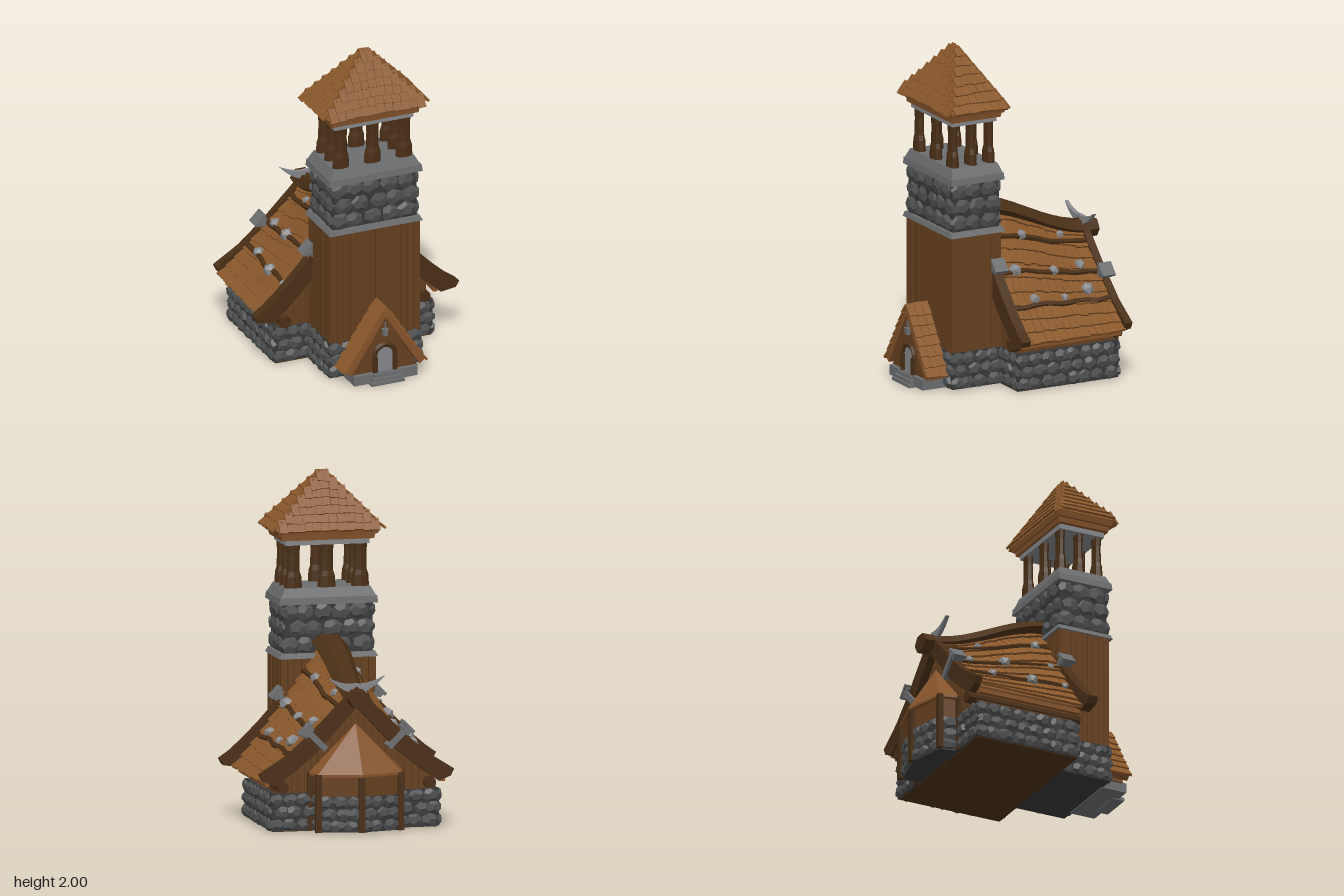
import * as THREE from 'three';
import { mergeGeometries } from 'three/addons/utils/BufferGeometryUtils.js';

const mat = (color) => new THREE.MeshStandardMaterial({ color, flatShading: true, side: THREE.DoubleSide });
const TILE = mat(0x8a582b), DARK = mat(0x4a2f16), WOOD = mat(0x66401f), TRIM = mat(0x85532a);
const ROCK = mat(0x505152), MORTAR = mat(0x38383a), GREY = mat(0x6c6e70), PALE = mat(0x85878a);
const lerp = THREE.MathUtils.lerp;
const V = (x, y, z) => new THREE.Vector3(x, y, z);

export function createModel() {
  const root = new THREE.Group();
  let seed = 7;
  const rnd = (a = 0, b = 1) => {
    seed = (seed * 16807) % 2147483647;
    return lerp(a, b, seed / 2147483647);
  };
  const add = (name, geo, material) => {
    const m = new THREE.Mesh(geo, material);
    m.name = name;
    root.add(m);
    return m;
  };
  const boxGeo = (w, h, d, x, y, z) => new THREE.BoxGeometry(w, h, d).translate(x, y, z);
  // box given by half sizes in x, a y range and a z range
  const block = (name, hx, y0, y1, z0, z1, m) =>
    add(name, boxGeo(hx * 2, y1 - y0, z1 - z0, 0, (y0 + y1) / 2, (z0 + z1) / 2), m);
  // four-sided tapered block on the tower axis
  const TZ = 0.325;
  const frustum = (name, bx, bz, tx, tz, y0, y1, m) => {
    const g = new THREE.BoxGeometry(2, y1 - y0, 2), p = g.attributes.position;
    for (let i = 0; i < p.count; i++) {
      const top = p.getY(i) > 0;
      p.setX(i, p.getX(i) * (top ? tx : bx));
      p.setZ(i, p.getZ(i) * (top ? tz : bz));
    }
    return add(name, g.translate(0, (y0 + y1) / 2, TZ), m);
  };
  const polygon = (pts) => new THREE.Shape(pts.map(([x, y]) => new THREE.Vector2(x, y)));
  const extrude = (shape, z0, z1) =>
    new THREE.ExtrudeGeometry(shape, { depth: z1 - z0, bevelEnabled: false, curveSegments: 10 }).translate(0, 0, z0);
  const prism = (name, pts, y0, y1, m) =>
    add(name, extrude(polygon(pts.map(([x, z]) => [x, -z])), y0, y1).rotateX(-Math.PI / 2), m);
  const rect = (hx, z0, z1) => [[-hx, z1], [hx, z1], [hx, z0], [-hx, z0]];

  // mortar core covered with rough faceted stones
  const cobbles = (name, pts, y0, y1, rows, size, closed = true) => {
    prism(name + 'Core', pts, y0, y1, MORTAR);
    const parts = [], h = (y1 - y0) / rows;
    for (let k = 0; k < pts.length - (closed ? 0 : 1); k++) {
      const [ax, az] = pts[k], [bx, bz] = pts[(k + 1) % pts.length];
      const len = Math.hypot(bx - ax, bz - az), n = Math.max(1, Math.round(len / size));
      for (let r = 0; r < rows; r++) for (let i = 0; i < n; i++) {
        const t = THREE.MathUtils.clamp((i + 0.5 + (r % 2 ? 0.2 : -0.2) + rnd(-0.12, 0.12)) / n, 0.4 / n, 1 - 0.4 / n);
        const g = new THREE.DodecahedronGeometry(1).rotateZ(rnd(0, 6)).rotateX(rnd(0, 6));
        g.scale(len / n * rnd(0.52, 0.64), h * rnd(0.5, 0.58), rnd(0.016, 0.028));
        g.rotateY(Math.atan2(-(bz - az), bx - ax));
        g.translate(lerp(ax, bx, t), y0 + h * (r + 0.5), lerp(az, bz, t));
        parts.push(g);
      }
    }
    add(name, mergeGeometries(parts), ROCK);
  };

  // overlapping tiles on a surface P(u, v); u runs right and v up, seen from outside
  const shingles = (name, P, rows, width) => {
    const parts = [];
    for (let r = 0; r < rows; r++) {
      const v0 = r / rows, v1 = (r + 1) / rows, vm = (v0 + v1) / 2;
      const len = P(0, vm).distanceTo(P(1, vm)), n = Math.max(1, Math.round(len / width));
      for (let i = 0; i < n; i++) {
        const u = (i + 0.5) / n;
        const up = P(u, v1).sub(P(u, v0)), h = up.length();
        const a = P((i + 1) / n, vm).sub(P(i / n, vm)).normalize();
        const nor = a.clone().cross(up).normalize();
        const y = nor.clone().cross(a).normalize();
        const g = new THREE.BoxGeometry(len / n * rnd(0.9, 1.02), h * rnd(1.1, 1.4), 0.014);
        g.rotateX(-0.14).rotateZ(rnd(-0.05, 0.05));
        g.applyMatrix4(new THREE.Matrix4().makeBasis(a, y, nor).setPosition(P(u, vm).addScaledVector(nor, 0.009)));
        parts.push(g);
      }
    }
    add(name, mergeGeometries(parts), TILE);
  };
  const slope = (s, zf, zb, hx, yAt) => (u, v) => {
    const z = lerp(zf, zb, s > 0 ? u : 1 - u), x = hx * (1 - v);
    return V(s * x, yAt(x, z), z);
  };

  // ---- foundations ----
  const apse = [[0.25, -0.48], [0.23, -0.595], [0, -0.65], [-0.23, -0.595], [-0.25, -0.48]];
  cobbles('towerFoundation', rect(0.29, 0.17, 0.49), 0.01, 0.23, 3, 0.085);
  cobbles('naveFoundation', rect(0.5, -0.49, 0.17), 0.01, 0.23, 3, 0.085);
  cobbles('apseFoundation', apse, 0.01, 0.22, 3, 0.08, false);
  block('naveUnderside', 0.49, 0.005, 0.012, -0.48, 0.17, DARK);

  // ---- tower ----
  block('towerCore', 0.27, 0.2, 0.93, 0.175, 0.475, DARK);
  const planks = [];
  for (let i = 0; i < 14; i++) for (const z of [0.175, 0.475]) {
    planks.push(boxGeo(0.036, 0.73, rnd(0.02, 0.032), -0.26 + i * 0.04, 0.565, z));
  }
  for (let i = 0; i < 9; i++) for (const s of [-1, 1]) {
    planks.push(boxGeo(rnd(0.02, 0.032), 0.73, 0.032, s * 0.272, 0.565, 0.185 + i * 0.035));
  }
  add('towerPlanks', mergeGeometries(planks), WOOD);
  frustum('lowerLedge', 0.295, 0.178, 0.28, 0.17, 0.92, 0.95, GREY);
  cobbles('towerStonework', rect(0.265, 0.172, 0.478), 0.95, 1.24, 3, 0.1);
  frustum('upperLedge', 0.295, 0.175, 0.29, 0.172, 1.235, 1.275, GREY);
  frustum('belfryFloor', 0.285, 0.168, 0.255, 0.15, 1.275, 1.33, GREY);
  const profile = [[0.001, 0], [0.054, 0], [0.05, 0.07], [0.04, 0.1], [0.038, 0.2], [0.043, 0.26], [0.001, 0.26]];
  for (const i of [-1, 0, 1]) for (const j of [-1, 0, 1]) {
    if (!i && !j) continue;
    const g = new THREE.LatheGeometry(profile.map(([x, y]) => new THREE.Vector2(x, y)), 8);
    add('belfryPillar', g.scale(1, 1, 0.58).translate(i * 0.2, 1.325, TZ + j * 0.118), DARK);
  }
  frustum('belfryLintel', 0.25, 0.145, 0.25, 0.145, 1.58, 1.612, PALE);
  frustum('lowerCornice', 0.275, 0.16, 0.28, 0.163, 1.61, 1.64, TRIM);
  frustum('upperCornice', 0.295, 0.172, 0.305, 0.178, 1.64, 1.675, TRIM);
  frustum('towerRoofCore', 0.31, 0.18, 0.012, 0.008, 1.672, 1.99, TILE);
  const corner = [[-1, 1], [1, 1], [1, -1], [-1, -1]];
  corner.forEach((a, k) => {
    const b = corner[(k + 1) % 4];
    shingles('towerRoofTiles', (u, v) => V(
      lerp(a[0], b[0], u) * lerp(0.322, 0.016, v), lerp(1.668, 1.985, v),
      TZ + lerp(a[1], b[1], u) * lerp(0.187, 0.01, v)), 7, 0.05);
  });
  frustum('roofCap', 0.028, 0.018, 0.015, 0.01, 1.975, 2, TILE);

  // ---- nave roof: sagging ridge over straight eaves ----
  const ridge = (z) => 0.82 + 0.23 * THREE.MathUtils.smoothstep(z, -0.55, 0.2);
  const roofY = (x, z) => 0.3 + (ridge(z) - 0.32) * Math.pow(Math.max(0, 1 - Math.abs(x) / 0.56), 1.1);
  const base = new THREE.PlaneGeometry(1.1, 0.67, 20, 10).rotateX(-Math.PI / 2).translate(0, 0, -0.165);
  const bp = base.attributes.position;
  for (let i = 0; i < bp.count; i++) bp.setY(i, roofY(bp.getX(i), bp.getZ(i)) - 0.004);
  add('naveRoofDeck', base, TRIM);
  const beam = new THREE.CylinderGeometry(1, 1, 1, 6, 12).rotateY(Math.PI / 6).rotateX(Math.PI / 2);
  const rp = beam.attributes.position;
  for (let i = 0; i < rp.count; i++) {
    const t = rp.getZ(i) + 0.5, z = lerp(-0.605, 0.18, t);
    rp.setXYZ(i, rp.getX(i) * lerp(0.065, 0.105, t), ridge(z) - 0.04 + rp.getY(i) * 0.058, z);
  }
  add('ridgeBeam', beam, DARK);
  for (const s of [-1, 1]) {
    shingles('naveRoofTiles', slope(s, 0.16, -0.5, 0.56, roofY), 10, 0.046);
    for (const [x0, x1] of [[0.15, 0.1], [0.28, 0.25], [0.42, 0.385]]) {
      const pts = [];
      for (let i = 0; i <= 8; i++) {
        const z = lerp(0.17, -0.5, i / 8), x = lerp(x0, x1, i / 8) + rnd(-0.006, 0.006);
        pts.push(V(s * x, roofY(x, z) + 0.02, z));
      }
      add('roofBatten', new THREE.TubeGeometry(new THREE.CatmullRomCurve3(pts), 16, 0.019, 5), DARK);
    }
    add('eaveBoard', boxGeo(0.025, 0.025, 0.65, s * 0.525, 0.283, -0.165), TRIM);
    add('eaveLog', new THREE.CylinderGeometry(0.036, 0.036, 0.73, 10).rotateX(Math.PI / 2)
      .translate(s * 0.44, 0.27, -0.165), DARK);
    add('naveSideWall', boxGeo(0.03, 0.16, 0.62, s * 0.455, 0.28, -0.165), WOOD);
    // curved gable boards with iron clamps
    const front = [[0.24, 0.74], [0.31, 0.66], [0.4, 0.56], [0.5, 0.46], [0.58, 0.39], [0.645, 0.345],
      [0.625, 0.31], [0.53, 0.295], [0.42, 0.39], [0.24, 0.57]];
    const back = [[0, 0.85], [0.14, 0.71], [0.27, 0.58], [0.42, 0.45], [0.58, 0.35],
      [0.56, 0.31], [0.49, 0.28], [0.38, 0.355], [0.25, 0.46], [0.12, 0.6], [0, 0.73]];
    add('frontGableBoard', extrude(polygon(front.map(([x, y]) => [s * x, y])), 0.165, 0.225), DARK);
    add('backGableBoard', extrude(polygon(back.map(([x, y]) => [s * x, y])), -0.54, -0.495), DARK);
    for (const [x, y, z] of [[0.275, 0.69, 0.193], [0.27, 0.57, -0.517]]) {
      const clamp = mergeGeometries([boxGeo(0.035, 0.15, 0.08, 0, -0.04, 0), boxGeo(0.07, 0.03, 0.065, 0, 0.03, 0),
        boxGeo(0.09, 0.018, 0.085, 0, 0.05, 0)]);
      add('gableClamp', clamp.rotateZ(-s * 0.8).translate(s * x, y, z), GREY);
    }
  }
  // boulders caught on the roof
  const rocks = [[-0.24, -0.41, 4], [-0.38, -0.33, 4], [-0.1, -0.28, 3], [-0.26, -0.19, 5], [-0.41, -0.09, 5],
    [-0.14, 0.07, 4], [-0.28, 0.1, 3], [-0.42, 0.12, 3], [0.22, -0.385, 4], [0.34, -0.37, 5], [0.08, -0.33, 3],
    [0.26, -0.19, 4], [0.38, -0.2, 3], [0.125, -0.05, 4], [0.385, 0.005, 4], [0.27, 0.07, 5]];
  for (const [x, z, r] of rocks) {
    const g = new THREE.IcosahedronGeometry(r * 0.0098).rotateX(rnd(0, 6)).scale(1, 0.85, 0.85);
    add('roofBoulder', g.translate(x, roofY(x, z) + 0.025, z), PALE);
  }
  // plank gable walls
  const gable = [];
  for (const z of [0.15, -0.465]) for (let i = -11; i <= 11; i++) {
    const x = i * 0.04, top = roofY(Math.abs(x) + 0.02, z) - 0.01;
    gable.push(boxGeo(0.037, top - 0.2, rnd(0.025, 0.04), x, (top + 0.2) / 2, z));
  }
  add('gablePlanks', mergeGeometries(gable), WOOD);
  const horn = new THREE.Shape();
  horn.moveTo(-0.17, 0.905);
  horn.quadraticCurveTo(-0.07, 0.8, 0, 0.815);
  horn.quadraticCurveTo(0.07, 0.8, 0.17, 0.905);
  horn.quadraticCurveTo(0.07, 0.85, 0, 0.865);
  horn.quadraticCurveTo(-0.07, 0.85, -0.17, 0.905);
  add('gableHorns', extrude(horn, -0.525, -0.5), PALE);

  // ---- apse ----
  prism('apseWall', apse, 0.2, 0.36, WOOD);
  for (const [x, z] of apse) add('apsePost', boxGeo(0.036, 0.34, 0.03, x * 1.07, 0.18, z - 0.008), DARK);
  const rim = [[0.28, -0.5], [0.25, -0.61], [0, -0.68], [-0.25, -0.61], [-0.28, -0.5]];
  const tri = [];
  for (let i = 0; i < 4; i++) {
    const [ax, az] = rim[i], [bx, bz] = rim[i + 1];
    tri.push(ax, 0.35, az, bx, 0.35, bz, 0, 0.63, -0.5);
    tri.push(bx, 0.335, bz, ax, 0.335, az, 0, 0.335, -0.5);
    tri.push(ax, 0.335, az, bx, 0.335, bz, bx, 0.35, bz, ax, 0.335, az, bx, 0.35, bz, ax, 0.35, az);
  }
  const apseRoof = new THREE.BufferGeometry();
  apseRoof.setAttribute('position', new THREE.Float32BufferAttribute(tri, 3));
  apseRoof.computeVertexNormals();
  add('apseRoof', apseRoof, TRIM);

  // ---- porch ----
  block('porchBase', 0.2, 0.005, 0.065, 0.48, 0.64, GREY);
  add('porchWall', extrude(polygon([[-0.21, 0.06], [0.21, 0.06], [0, 0.43]]), 0.48, 0.615), WOOD);
  const porchY = (x) => 0.09 + 0.375 * (1 - x / 0.245);
  for (const s of [-1, 1]) {
    shingles('porchTiles', slope(s, 0.645, 0.5, 0.245, porchY), 7, 0.045);
    const board = [[0, 0.475], [0.248, 0.1], [0.215, 0.075], [0, 0.41]].map(([x, y]) => [s * x, y]);
    add('porchGableBoard', extrude(polygon(board), 0.5, 0.638), TRIM);
    add('doorPost', boxGeo(0.026, 0.1, 0.03, s * 0.062, 0.115, 0.622), DARK);
  }
  const door = new THREE.Shape();
  door.moveTo(-0.05, 0.065);
  door.lineTo(0.05, 0.065);
  door.lineTo(0.05, 0.17);
  door.absarc(0, 0.17, 0.05, 0, Math.PI, false);
  add('door', extrude(door, 0.6, 0.622), PALE);
  add('doorArch', new THREE.TorusGeometry(0.064, 0.016, 5, 12, Math.PI).translate(0, 0.165, 0.62), DARK);
  add('lantern', mergeGeometries([boxGeo(0.026, 0.035, 0.025, 0, 0.31, 0.63), boxGeo(0.008, 0.05, 0.008, 0, 0.35, 0.63),
    boxGeo(0.034, 0.008, 0.03, 0, 0.33, 0.63)]), GREY);
  for (let i = 0; i < 3; i++) block('step', 0.105 - i * 0.012, i * 0.02, (i + 1) * 0.02, 0.6, 0.677 - i * 0.013, GREY);

  return root;
}
